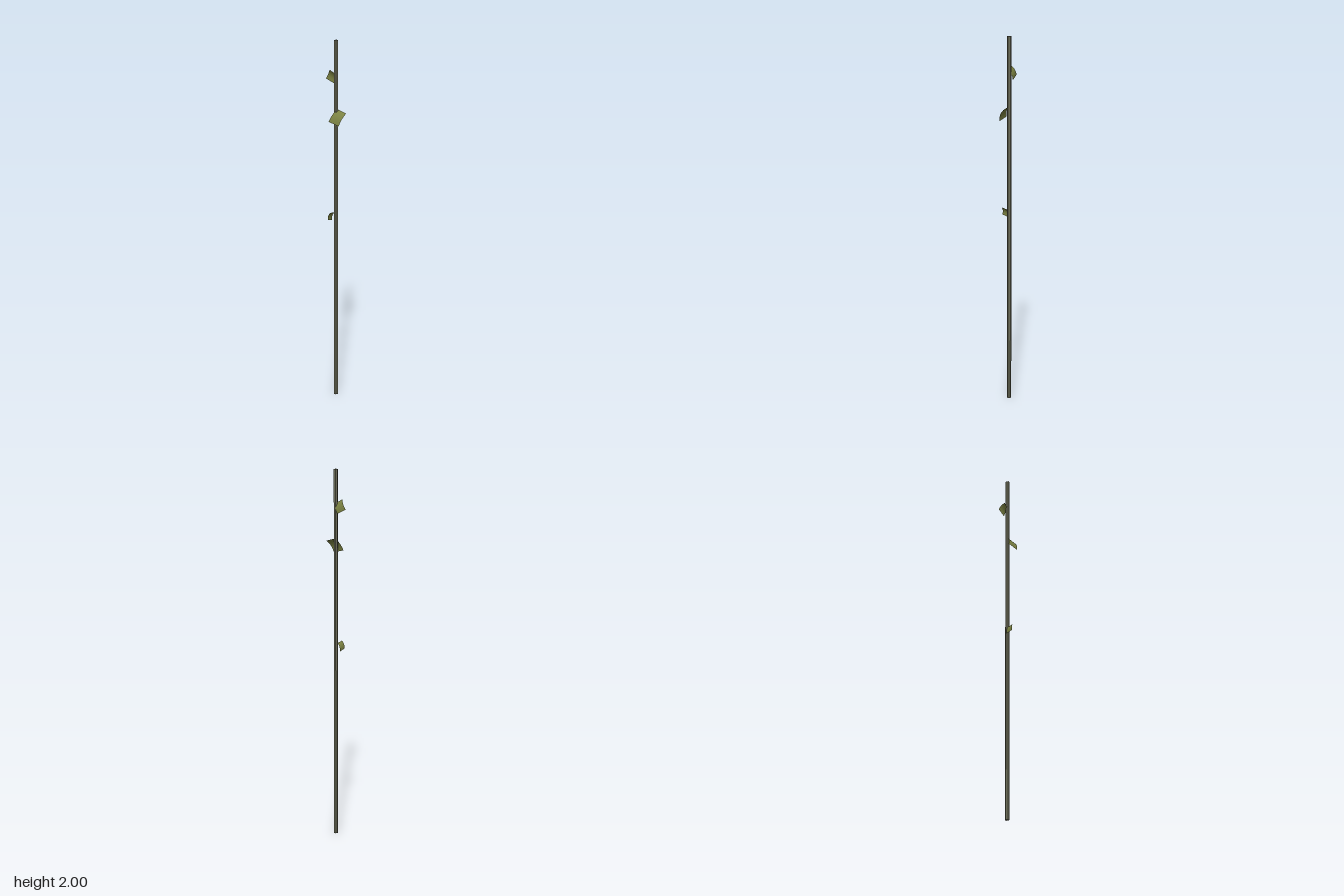
import * as THREE from 'three';

const stemGreen = new THREE.MeshStandardMaterial({ color: 0x6a6b57, flatShading: true });
stemGreen.name = 'stemGreen';
const leafGreen = new THREE.MeshStandardMaterial({ color: 0x7c8343, side: THREE.DoubleSide });
leafGreen.name = 'leafGreen';

// Drooping leaf: a patch between a base edge (a, b) and a tip edge (c under a, d under b),
// arched by "bulge" along its normal.
function makeLeaf(name, [a, b, c, d], bulge) {
  const [A, B, C, D] = [a, b, c, d].map((p) => new THREE.Vector3(...p));
  const normal = C.clone().sub(A).cross(B.clone().sub(A)).normalize();
  const geo = new THREE.PlaneGeometry(1, 1, 2, 5);
  const pos = geo.attributes.position;
  for (let i = 0; i < pos.count; i++) {
    const u = pos.getX(i) + 0.5;
    const v = 0.5 - pos.getY(i);
    const p = A.clone().lerp(B, u).lerp(C.clone().lerp(D, u), v);
    p.addScaledVector(normal, bulge * Math.sin(Math.PI * v));
    pos.setXYZ(i, p.x, p.y, p.z);
  }
  geo.computeVertexNormals();
  const leaf = new THREE.Mesh(geo, leafGreen);
  leaf.name = name;
  return leaf;
}

export function createModel() {
  const plant = new THREE.Group();
  plant.name = 'plant';

  // Straight six-sided stem
  const stem = new THREE.Mesh(new THREE.CylinderGeometry(0.0118, 0.0118, 2, 6), stemGreen);
  stem.name = 'stem';
  stem.position.set(0, 1, -0.023);
  stem.rotation.y = Math.PI / 6 + 0.1;
  plant.add(stem);

  // Leaves, from the top down
  plant.add(makeLeaf('upperLeaf', [
    [0.006, 1.82, -0.022], [-0.034, 1.844, -0.012],
    [-0.018, 1.77, -0.033], [-0.066, 1.793, -0.024],
  ], 0.007));
  plant.add(makeLeaf('middleLeaf', [
    [0.003, 1.638, -0.027], [0.061, 1.622, -0.026],
    [-0.024, 1.574, 0.012], [0.04, 1.558, 0.012],
  ], 0.008));
  plant.add(makeLeaf('lowerLeaf', [
    [-0.003, 1.075, -0.012], [-0.003, 1.082, 0.027],
    [-0.018, 1.03, -0.01], [-0.016, 1.04, 0.032],
  ], 0.006));

  return plant;
}
